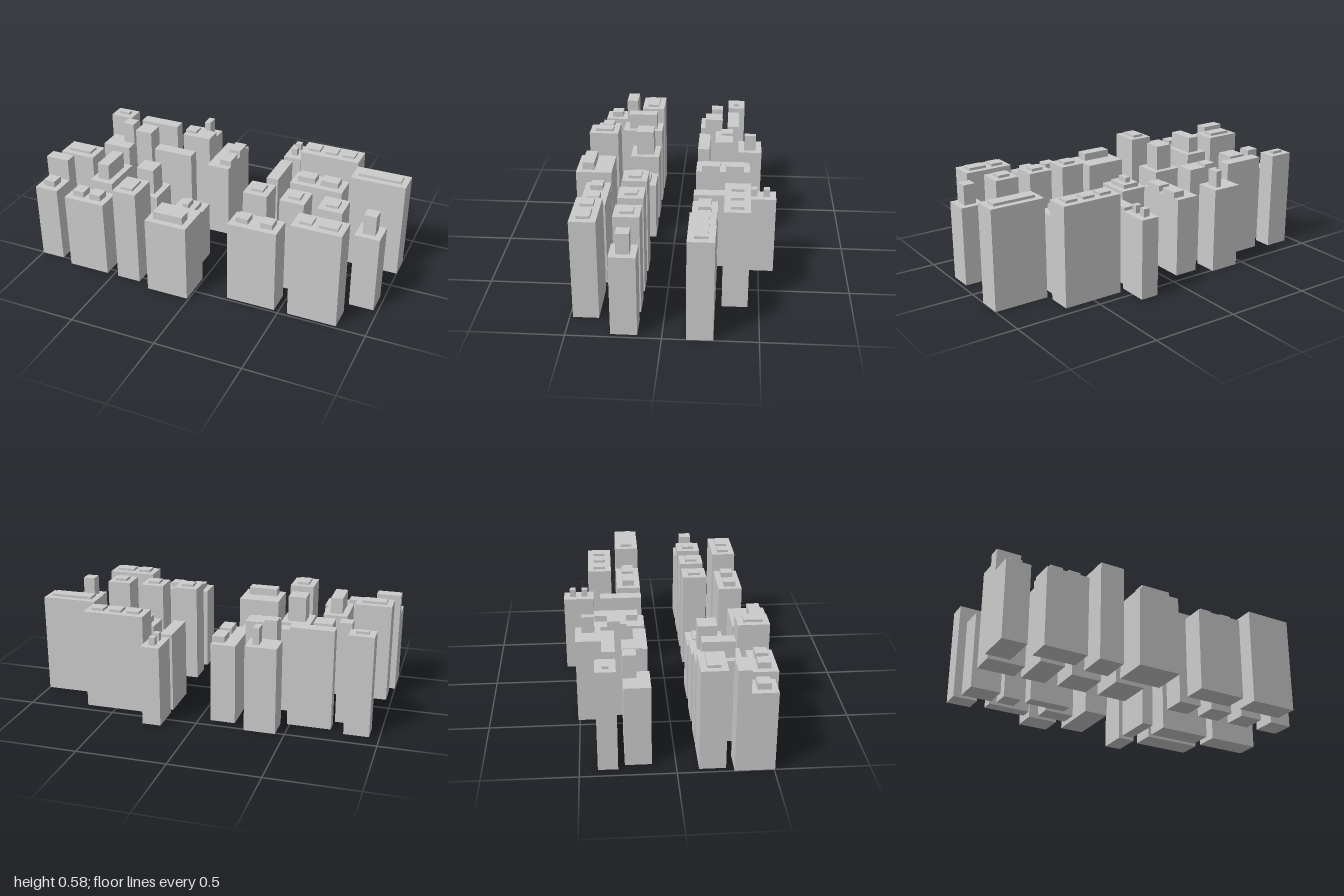
import * as THREE from 'three';

// all footprints are whole multiples of one plan cell
const CELL = 0.035;
const material = new THREE.MeshStandardMaterial({ color: 0xcccccc, flatShading: true });

// box from its back right corner (x, z), size in cells, between two heights
function addBox(parent, name, x, z, cols, rows, bottom, top) {
  const w = cols * CELL;
  const d = rows * CELL;
  const mesh = new THREE.Mesh(new THREE.BoxGeometry(w, top - bottom, d), material);
  mesh.position.set(x + w / 2, (bottom + top) / 2, z + d / 2);
  mesh.name = name;
  parent.add(mesh);
}

class Building extends THREE.Group {
  constructor(name, x, z, cols, rows, height) {
    super();
    this.name = name;
    this.plan = { x, z, cols, rows, height };
    addBox(this, 'walls', x, z, cols, rows, 0, height);
  }

  // roof box at a cell offset inside the footprint
  box(col, row, cols, rows, top, bottom = this.plan.height) {
    addBox(this, 'roofBox', this.plan.x + col * CELL, this.plan.z + row * CELL, cols, rows, bottom, top);
    return this;
  }

  // equal roof boxes in a row, one cell in from the edges, with a gap between them
  roof(top, count = 1, gap = 1) {
    const { cols, rows } = this.plan;
    const size = (cols - 2 - gap * (count - 1)) / count;
    for (let i = 0; i < count; i++) this.box(1 + i * (size + gap), 1, size, rows - 2, top);
    return this;
  }
}

const LOW = 0.455;
const MID = 0.49;
const HIGH = 0.57;
const TOP = 0.585;

function backRightQuarter() {
  return [
    new Building('cornerTower', -0.945, -0.405, 4, 3, HIGH).roof(TOP),
    new Building('backSlab', -0.73, -0.37, 7, 2, HIGH),
    new Building('chimneyTower', -0.45, -0.51, 5, 4, MID).box(3, 1, 1, 2, TOP),
    new Building('steppedTower', -0.41, -0.335, 5, 3, HIGH).box(0, 0, 2, 2, TOP),
    new Building('notchedBlock', -0.91, -0.265, 5, 4, LOW).box(3, 0, 2, 2, TOP),
    new Building('squareTower', -0.70, -0.265, 3, 3, HIGH),
    new Building('innerSlab', -0.555, -0.195, 7, 2, MID),
    new Building('longBlock', -0.205, -0.44, 4, 9, LOW).box(2, 1, 2, 3, MID).box(2, 5, 2, 3, MID),
  ];
}

function backLeftQuarter() {
  return [
    new Building('narrowTower', 0.18, -0.585, 3, 5, LOW).box(1, 1, 1, 1, 0.5).box(1, 3, 1, 1, 0.5),
    new Building('thinSlab', 0.18, -0.37, 2, 7, LOW),
    new Building('tripleRoofBlock', 0.325, -0.44, 10, 4, HIGH).roof(TOP, 3),
    new Building('twinRoofBlock', 0.325, -0.265, 9, 4, LOW).roof(MID, 2),
    new Building('wideBlock', 0.685, -0.265, 9, 4, HIGH).roof(TOP),
  ];
}

function frontRightQuarter() {
  return [
    new Building('sideBlock', -0.97, 0.115, 6, 4, HIGH).roof(TOP),
    new Building('deepBlock', -0.72, 0.115, 4, 7, MID).roof(TOP),
    new Building('crownedBlock', -0.505, 0.115, 5, 5, 0.42).roof(HIGH),
    new Building('tieredBlock', -0.255, 0.115, 5, 6, 0.345).roof(0.37).box(2, 2, 1, 2, 0.4, 0.37),
    new Building('edgeTower', -1, 0.365, 4, 4, LOW).roof(MID),
    new Building('edgeTowerBack', -1, 0.295, 4, 2, TOP),
    new Building('frontTwinBlock', -0.785, 0.4, 7, 4, LOW).roof(MID, 2),
    new Building('frontTower', -0.47, 0.365, 4, 5, HIGH).roof(TOP),
    new Building('frontBlock', -0.255, 0.37, 7, 6, LOW).box(1, 3, 5, 2, 0.5),
  ];
}

function frontLeftQuarter() {
  const buildings = [
    new Building('frontLowBlock', 0.193, 0.343, 8, 4, MID).roof(0.52, 2, 2),
    new Building('frontHighBlock', 0.55, 0.343, 8, 4, HIGH).box(1, 1, 2, 2, TOP).box(4, 1, 3, 2, TOP),
  ];
  // row of four towers, the last lower with a tall roof box
  for (let i = 0; i < 4; i++) {
    const last = i === 3;
    const tower = new Building(`rowTower${i + 1}`, 0.193 + i * 0.214, 0.127, 4, 4, last ? LOW : HIGH);
    buildings.push(tower.roof(last ? HIGH : TOP));
  }
  return buildings;
}

export function createModel() {
  const city = new THREE.Group();
  city.name = 'cityBlocks';
  city.add(...backRightQuarter(), ...backLeftQuarter(), ...frontRightQuarter(), ...frontLeftQuarter());
  return city;
}
